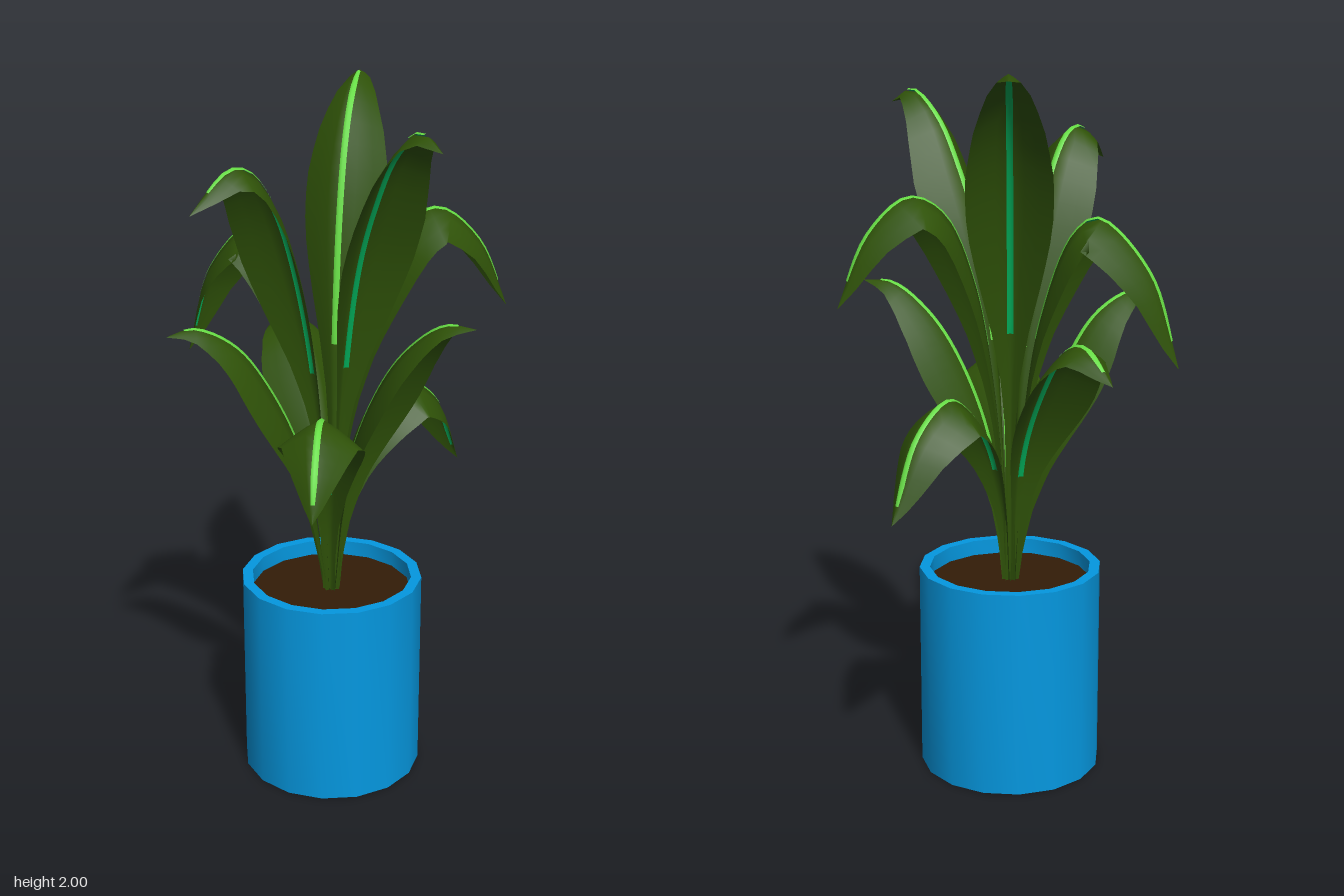
import * as THREE from 'three';
import { toCreasedNormals } from 'three/addons/utils/BufferGeometryUtils.js';

const mat = (name, color, side = THREE.FrontSide) => {
  const m = new THREE.MeshStandardMaterial({ color, side });
  m.name = name;
  return m;
};

// Each leaf: tip direction (x, z), then its midrib as (reach, height) points
const LEAVES = [
  { dir: [-0.005, -0.5], rib: [[0.03, 0.77], [0.09, 0.97], [0.18, 1.09], [0.27, 1.14], [0.4, 1.06], [0.5, 0.84]] },
  { dir: [0.225, -0.455], rib: [[0.04, 1.05], [0.11, 1.44], [0.2, 1.63], [0.3, 1.675], [0.42, 1.58], [0.505, 1.385]] },
  { dir: [0.405, -0.16], rib: [[0.06, 0.97], [0.16, 1.22], [0.25, 1.34], [0.35, 1.41], [0.44, 1.41]] },
  { dir: [0.468, 0.03], rib: [[0.05, 1.15], [0.12, 1.54], [0.2, 1.74], [0.28, 1.87], [0.38, 1.94], [0.47, 1.9]] },
  { dir: [0.35, 0.345], rib: [[0.04, 0.82], [0.11, 1.04], [0.21, 1.155], [0.31, 1.18], [0.42, 1.1], [0.49, 0.97]] },
  { dir: [0.035, 0.475], rib: [[0.05, 1.15], [0.13, 1.54], [0.2, 1.72], [0.28, 1.82], [0.35, 1.835], [0.48, 1.735]] },
  { dir: [-0.195, 0.41], rib: [[0.08, 0.97], [0.18, 1.2], [0.27, 1.32], [0.38, 1.375], [0.457, 1.355]] },
  { dir: [-0.45, 0.17], rib: [[0.04, 1.05], [0.09, 1.34], [0.18, 1.57], [0.25, 1.615], [0.4, 1.47], [0.482, 1.21]] },
  { dir: [-0.46, -0.15], rib: [[0.06, 0.94], [0.16, 1.15], [0.26, 1.27], [0.36, 1.305], [0.485, 1.22]] },
  { dir: [-0.27, -0.34], rib: [[0.05, 1.35], [0.12, 1.7], [0.19, 1.86], [0.27, 1.955], [0.36, 2], [0.436, 1.985]] },
];

// Half width of a leaf against distance from its tip
const OUTLINE = [[0, 0], [0.06, 0.03], [0.13, 0.058], [0.25, 0.094], [0.36, 0.114], [0.46, 0.118],
  [0.56, 0.106], [0.66, 0.084], [0.78, 0.053], [0.92, 0.026], [1.05, 0.014], [3, 0.01]];
function halfWidth(d) {
  const i = Math.max(1, OUTLINE.findIndex((p) => p[0] >= d));
  const [a, b] = [OUTLINE[i - 1], OUTLINE[i]];
  return a[1] + (b[1] - a[1]) * (d - a[0]) / (b[0] - a[0]);
}

// Roof-shaped ribbon along a curve; lift moves it off the leaf surface, flip turns it over
function ribbon(curve, side, { from = 0, to = 1, rows, cols, width, arch, lift = 0, flip = false }) {
  const pos = [], idx = [];
  for (let i = 0; i <= rows; i++) {
    const t = from + (to - from) * i / rows;
    const p = curve.getPointAt(t);
    const n = new THREE.Vector3().crossVectors(side, curve.getTangentAt(t)).normalize();
    const w = width(t);
    for (let j = 0; j <= cols; j++) {
      const u = 2 * j / cols - 1;
      const drop = arch * w * Math.pow(Math.abs(u), 1.2);
      const q = p.clone().addScaledVector(side, u * w).addScaledVector(n, lift - drop);
      pos.push(q.x, q.y, q.z);
      if (i < rows && j < cols) {
        const a = i * (cols + 1) + j, b = a + 1, c = a + cols + 1, d = c + 1;
        if (flip) idx.push(a, c, b, b, c, d);
        else idx.push(a, b, c, b, d, c);
      }
    }
  }
  const g = new THREE.BufferGeometry();
  g.setAttribute('position', new THREE.Float32BufferAttribute(pos, 3));
  g.setIndex(idx);
  g.computeVertexNormals();
  return g;
}

export function createModel() {
  const model = new THREE.Group();
  model.name = 'pottedPlant';
  const potBlue = mat('potBlue', 0x0498e0);
  const soilBrown = mat('soilBrown', 0x331c08);
  const leafGreen = mat('leafGreen', 0x2f5208, THREE.DoubleSide);
  const ribBright = mat('ribBright', 0x66dd44);
  const ribUnder = mat('ribUnder', 0x00b05c);

  const add = (parent, name, geometry, material) => {
    const m = new THREE.Mesh(geometry, material);
    m.name = name;
    parent.add(m);
    return m;
  };

  // Pot with a hollow rim, and the soil inside
  const profile = [[0, 0], [0.263, 0], [0.263, 0.6], [0.233, 0.6], [0.233, 0.54]]
    .map(([x, y]) => new THREE.Vector2(x, y));
  const pot = add(model, 'pot', toCreasedNormals(new THREE.LatheGeometry(profile, 16), 0.6), potBlue);
  pot.position.set(-0.007, 0, 0.007);
  const soil = add(model, 'soil', new THREE.CircleGeometry(0.233, 16).rotateX(-Math.PI / 2), soilBrown);
  soil.position.set(-0.007, 0.555, 0.007);

  // Leaves, each with a midrib on both faces
  const plant = new THREE.Group();
  plant.name = 'leaves';
  plant.position.set(-0.005, 0, 0.01);
  model.add(plant);
  LEAVES.forEach(({ dir, rib }) => {
    const a = Math.atan2(dir[1], dir[0]);
    const side = new THREE.Vector3(-Math.sin(a), 0, Math.cos(a));
    const curve = new THREE.CatmullRomCurve3([[0.01, 0.55], ...rib]
      .map(([r, y]) => new THREE.Vector3(r * Math.cos(a), y, r * Math.sin(a))));
    const length = curve.getLength();
    const scale = Math.sqrt(length / 1.3);
    const leaf = new THREE.Group();
    leaf.name = 'leaf';
    plant.add(leaf);
    add(leaf, 'blade', ribbon(curve, side, {
      rows: 24, cols: 6, arch: 0.7, width: (t) => halfWidth((1 - t) * length / scale),
    }), leafGreen);
    const strip = { from: 1 - 0.8 * scale / length, to: 0.95, rows: 24, cols: 2, arch: 0.6,
      width: (t) => 0.009 * Math.min(1, (1 - t) * 8 + 0.2) };
    add(leaf, 'upperMidrib', ribbon(curve, side, { ...strip, lift: 0.002 }), ribBright);
    add(leaf, 'lowerMidrib', ribbon(curve, side, { ...strip, lift: -0.003, flip: true }), ribUnder);
  });
  return model;
}
